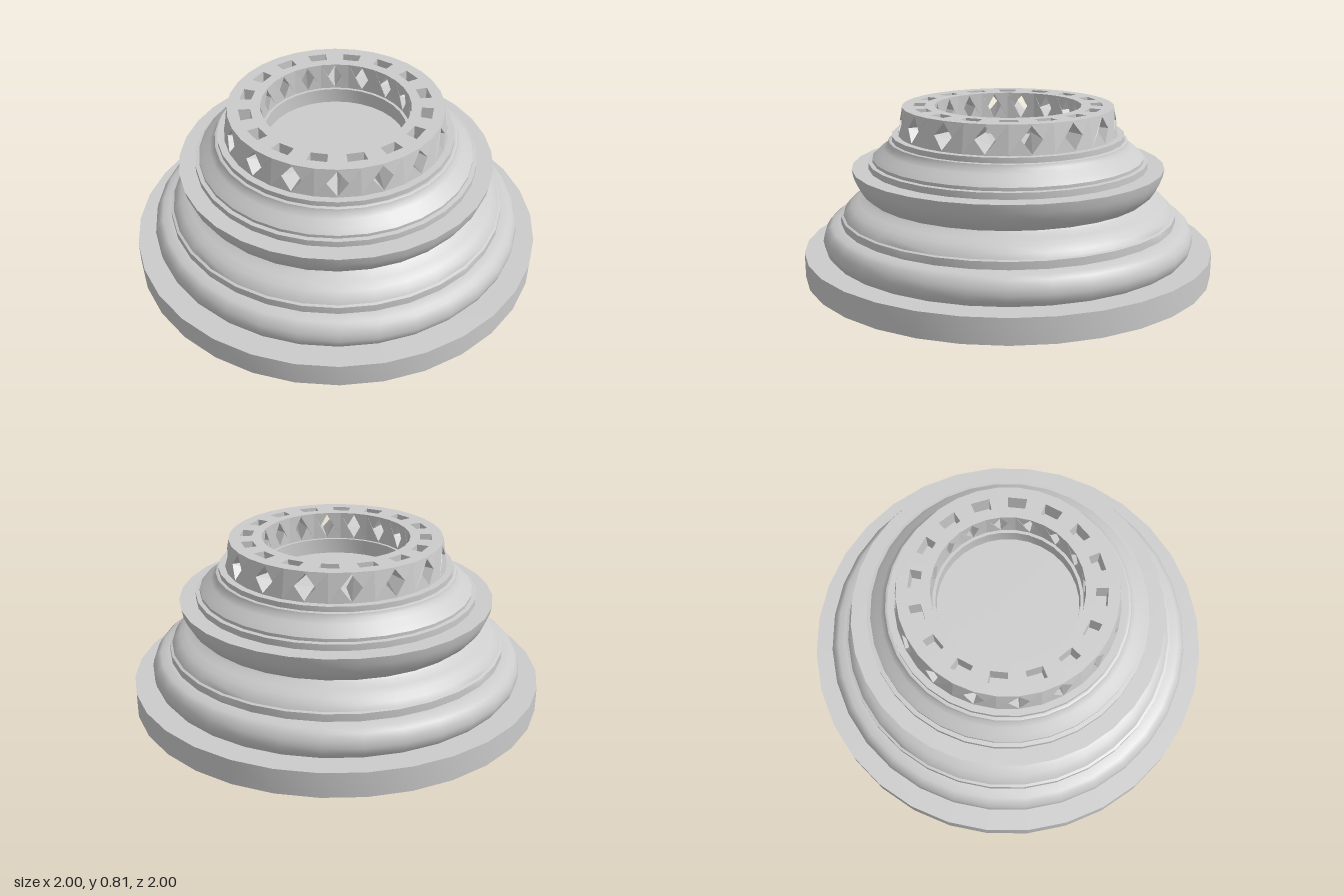
import * as THREE from 'three';
import { toCreasedNormals } from 'three/addons/utils/BufferGeometryUtils.js';

const SECTORS = 16;
const STEP = (Math.PI * 2) / SECTORS;
const Y0 = 0.675, Y1 = 0.81, SLOT_Y = 0.71;

// Radii of the crown walls at height y
const outerR = (y) => THREE.MathUtils.lerp(0.533, 0.512, (y - Y0) / (Y1 - Y0));
const innerR = () => 0.355;

const polar = (u, r, y) => [r * Math.sin(u * STEP), y, r * Math.cos(u * STEP)];

// Flat shape (optionally with a hole) bent into place by the map fn(x, y) -> [x, y, z]
function bentShape(outline, hole, fn) {
  const shape = new THREE.Shape(outline.map(([a, b]) => new THREE.Vector2(a, b)));
  if (hole) shape.holes.push(new THREE.Path(hole.map(([a, b]) => new THREE.Vector2(a, b))));
  const g = new THREE.ShapeGeometry(shape);
  const p = g.attributes.position;
  for (let i = 0; i < p.count; i++) p.setXYZ(i, ...fn(p.getX(i), p.getY(i)));
  const flat = g.toNonIndexed();
  flat.computeVertexNormals();
  return flat;
}

// Side walls joining two copies of a closed outline
function sideWalls(outline, fnA, fnB) {
  const pos = [];
  outline.forEach((p, i) => {
    const q = outline[(i + 1) % outline.length];
    const a = fnA(...p), b = fnA(...q), c = fnB(...q), d = fnB(...p);
    pos.push(...a, ...b, ...c, ...a, ...c, ...d);
  });
  const g = new THREE.BufferGeometry();
  g.setAttribute('position', new THREE.Float32BufferAttribute(pos, 3));
  g.computeVertexNormals();
  return g;
}

export function createModel() {
  const model = new THREE.Group();
  const mat = new THREE.MeshStandardMaterial({ color: 0xcccccc, side: THREE.DoubleSide });
  const add = (parent, name, geo) => {
    const m = new THREE.Mesh(geo, mat);
    m.name = name;
    parent.add(m);
    return m;
  };

  // Thin turned shell, open below: plinth, mouldings, ledge and recessed floor
  const profile = [
    [1, 0], [1, 0.12], [0.885, 0.12],
    [0.902, 0.145], [0.908, 0.175], [0.902, 0.205], [0.885, 0.235], [0.865, 0.25], [0.82, 0.257],
    [0.82, 0.293], [0.808, 0.297],
    [0.795, 0.32], [0.77, 0.342], [0.735, 0.36], [0.7, 0.375], [0.688, 0.385],
    [0.715, 0.41], [0.738, 0.445], [0.752, 0.48], [0.76, 0.52], [0.68, 0.52],
    [0.68, 0.55], [0.66, 0.552], [0.66, 0.567],
    [0.635, 0.59], [0.605, 0.612], [0.585, 0.63], [0.58, 0.648],
    [0.577, 0.65], [0.565, 0.65], [0.565, Y0], [0.34, Y0], [0.34, 0.6], [0, 0.6],
  ].map(([r, y]) => new THREE.Vector2(r, y));
  add(model, 'steppedBase', toCreasedNormals(new THREE.LatheGeometry(profile, 32), 0.6));

  // Crown ring, one repeating sector at a time
  const yMid = (Y0 + Y1) / 2;
  const cell = [[-0.5, Y0], [0, Y0], [0.5, Y0], [0.5, Y1], [0, Y1], [-0.5, Y1]];
  const diamond = [[0, Y0 + 0.005], [0.24, yMid], [0, Y1 - 0.008], [-0.24, yMid]];
  const onOuter = (u, y) => polar(u, outerR(y), y);
  const onInner = (u, y) => polar(u, innerR(), y);

  // The slots lie midway between the diamonds
  const rIn = innerR(), rOut = outerR(Y1);
  const topCell = [[0, rIn], [0.5, rIn], [1, rIn], [1, rOut], [0.5, rOut], [0, rOut]];
  const slot = [[0.25, 0.402], [0.75, 0.402], [0.75, 0.458], [0.25, 0.458]];
  const onTop = (u, r) => polar(u, r, Y1);
  const onSlotFloor = (u, r) => polar(u, r, SLOT_Y);

  const parts = {
    crownOuterWall: bentShape(cell, diamond, onOuter),
    crownInnerWall: bentShape(cell, diamond, onInner),
    diamondOpening: sideWalls(diamond, onOuter, onInner),
    crownTop: bentShape(topCell, slot, onTop),
    slotWalls: sideWalls(slot, onTop, onSlotFloor),
    slotFloor: bentShape(slot, null, onSlotFloor),
  };

  const crown = new THREE.Group();
  crown.name = 'crownRing';
  for (let i = 0; i < SECTORS; i++) {
    const sector = new THREE.Group();
    sector.name = 'crownSector';
    for (const [name, geo] of Object.entries(parts)) add(sector, name, geo);
    sector.rotation.y = i * STEP;
    crown.add(sector);
  }
  model.add(crown);
  return model;
}
